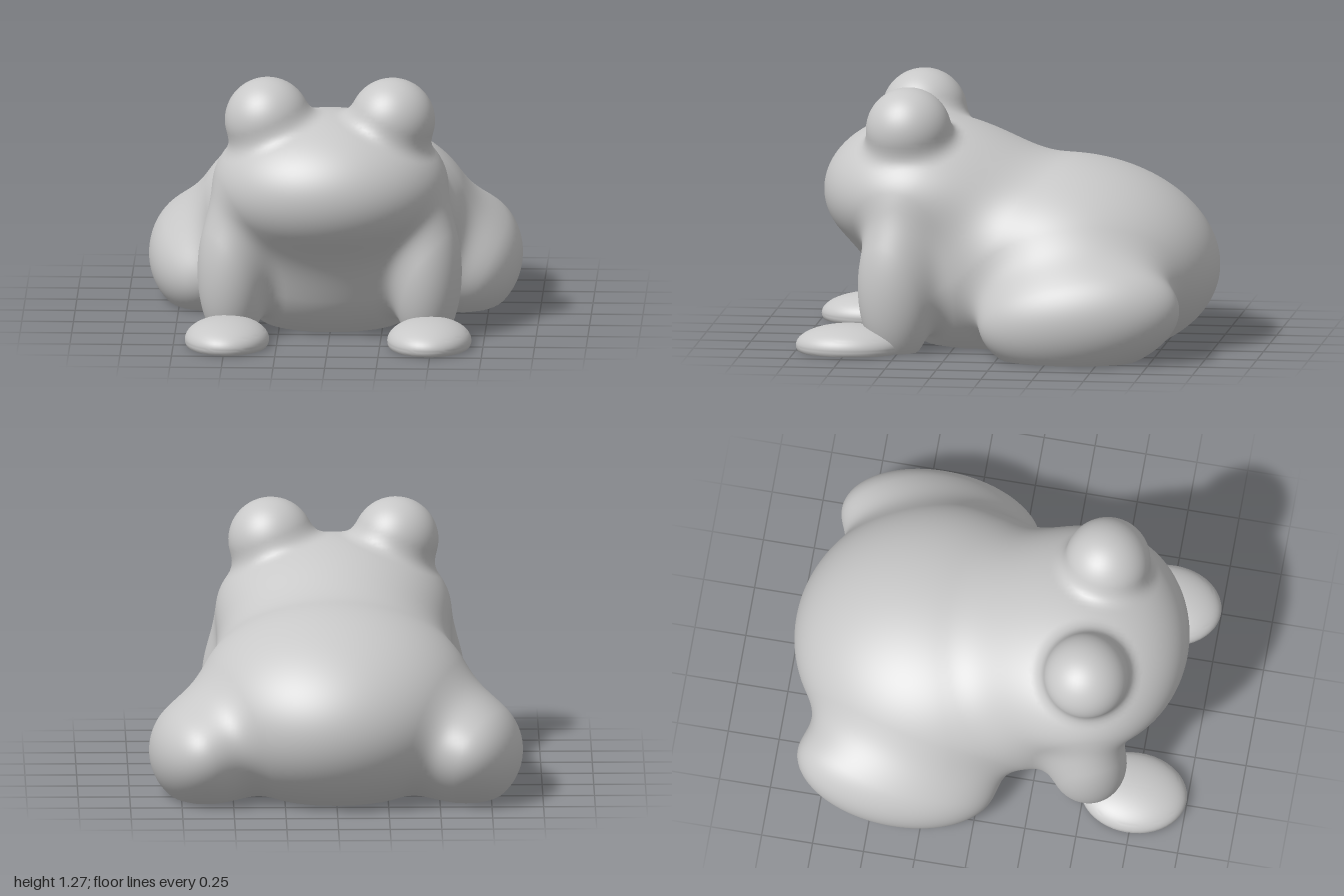
import * as THREE from 'three';
import { toCreasedNormals } from 'three/addons/utils/BufferGeometryUtils.js';

// Soft masses of the frog: centre, radii, pitch about x, blend width.
// Paired masses are described on the +x side and mirrored.
const MASSES = [
  { name: 'torso', c: [0, 0.42, -0.3], r: [0.68, 0.485, 0.705], pitch: 0.13, k: 0 },
  { name: 'chest', c: [0, 0.4, 0.13], r: [0.57, 0.5, 0.53], pitch: 0, k: 0.15 },
  { name: 'head', c: [0, 0.73, 0.42], r: [0.57, 0.365, 0.5], pitch: 0, k: 0.2 },
  { name: 'Thigh', pair: true, c: [0.63, 0.21, -0.4], r: [0.275, 0.28, 0.49], pitch: -0.13, k: 0.15 },
  { name: 'FrontLeg', pair: true, c: [0.47, 0.32, 0.51], r: [0.17, 0.38, 0.19], pitch: 0, k: 0.1 },
  { name: 'Eye', pair: true, c: [0.302, 1.06, 0.475], r: [0.207, 0.207, 0.207], pitch: 0, k: 0.075 },
];
for (const m of MASSES) { m.cos = Math.cos(m.pitch); m.sin = Math.sin(m.pitch); }

// Approximate distance to one tilted ellipsoid
function massDistance(m, x, y, z) {
  const dx = Math.abs(x) - (m.pair ? m.c[0] : 0), dy = y - m.c[1], dz = z - m.c[2];
  const px = dx / m.r[0];
  const py = (dy * m.cos - dz * m.sin) / m.r[1];
  const pz = (dz * m.cos + dy * m.sin) / m.r[2];
  const k0 = Math.hypot(px, py, pz);
  const k1 = Math.hypot(px / m.r[0], py / m.r[1], pz / m.r[2]);
  return k1 < 1e-6 ? -Math.min(...m.r) : k0 * (k0 - 1) / k1;
}

// All masses melted together
function skin(x, y, z) {
  let d = Infinity;
  for (const m of MASSES) {
    const e = massDistance(m, x, y, z);
    const h = m.k ? Math.max(m.k - Math.abs(d - e), 0) : 0;
    d = Math.min(d, e) - (h ? h * h / (4 * m.k) : 0);
  }
  return d;
}

function gradient([x, y, z], e = 0.002) {
  return [
    (skin(x + e, y, z) - skin(x - e, y, z)) / (2 * e),
    (skin(x, y + e, z) - skin(x, y - e, z)) / (2 * e),
    (skin(x, y, z + e) - skin(x, y, z - e)) / (2 * e),
  ];
}

// Name of the mass that owns a point of the skin
function ownerOf(p) {
  let best = null, least = Infinity;
  for (const m of MASSES) {
    const d = massDistance(m, ...p);
    if (d < least) { least = d; best = m; }
  }
  return best.pair ? (p[0] > 0 ? 'left' : 'right') + best.name : best.name;
}

// Wrap the skin in a quad net and sort the quads into named parts
function buildSkin() {
  const step = 0.022, low = [-1.012, -0.22, -1.1];
  const size = [93, 70, 98];
  const stride = [1, size[0], size[0] * size[1]];
  const at = (i, a) => low[a] + i * step;
  const field = new Float32Array(size[0] * size[1] * size[2]);
  const each = (visit) => {
    for (let k = 1; k < size[2] - 1; k++)
      for (let j = 1; j < size[1] - 1; j++)
        for (let i = 1; i < size[0] - 1; i++)
          visit([i, j, k], i + j * stride[1] + k * stride[2]);
  };
  field.fill(1);
  each(([i, j, k], n) => { field[n] = skin(at(i, 0), at(j, 1), at(k, 2)); });

  // Each grid edge crossing the skin gives one quad and pulls its four cells
  const cells = new Map(), quads = [];
  each((g, n) => {
    for (let a = 0; a < 3; a++) {
      const d0 = field[n], d1 = field[n + stride[a]];
      if ((d0 < 0) === (d1 < 0)) continue;
      const p = g.map(at);
      p[a] += step * d0 / (d0 - d1);
      const b = stride[(a + 1) % 3], c = stride[(a + 2) % 3];
      const quad = [n, n - b, n - b - c, n - c].map((id) => {
        if (!cells.has(id)) cells.set(id, { sum: [0, 0, 0], count: 0 });
        const cell = cells.get(id);
        p.forEach((v, q) => { cell.sum[q] += v; });
        cell.count++;
        return cell;
      });
      quads.push(d0 < 0 ? quad : quad.reverse());
    }
  });

  // Settle the corners on the skin, then flatten everything below the ground
  for (const cell of cells.values()) {
    cell.p = cell.sum.map((v) => v / cell.count);
    for (let s = 0; s < 3; s++) {
      const g = gradient(cell.p), d = skin(...cell.p);
      const l2 = g[0] ** 2 + g[1] ** 2 + g[2] ** 2 || 1;
      cell.p = cell.p.map((v, q) => v - d * g[q] / l2);
    }
    const g = gradient(cell.p), l = Math.hypot(...g) || 1;
    cell.n = g.map((v) => v / l);
    cell.under = cell.p[1] <= 0;
    cell.p[1] = Math.max(cell.p[1], 0);
  }

  const parts = {};
  for (const quad of quads) {
    const under = quad.every((c) => c.under);
    const mid = [0, 1, 2].map((q) => quad.reduce((s, c) => s + c.p[q] / 4, 0));
    const name = under ? 'underside' : ownerOf(mid);
    const part = parts[name] ??= { position: [], normal: [], index: [], seen: new Map() };
    const [a, b, c, d] = quad.map((cell) => {
      if (!part.seen.has(cell)) {
        part.seen.set(cell, part.seen.size);
        part.position.push(...cell.p);
        part.normal.push(...(under ? [0, -1, 0] : cell.n));
      }
      return part.seen.get(cell);
    });
    part.index.push(a, b, c, a, c, d);
  }
  return parts;
}

// Flat-bottomed oval foot
function footGeometry() {
  const geo = new THREE.SphereGeometry(1, 48, 40);
  geo.scale(0.204, 0.105, 0.26).translate(0, 0.03, 0);
  const pos = geo.attributes.position;
  for (let i = 0; i < pos.count; i++) pos.setY(i, Math.max(pos.getY(i), 0));
  return toCreasedNormals(geo, 0.6);
}

export function createModel() {
  const group = new THREE.Group();
  group.name = 'frog';
  const grey = new THREE.MeshStandardMaterial({ color: 0xc8c8c8 });
  grey.name = 'plain grey';

  const add = (name, geo, x = 0, z = 0) => {
    const mesh = new THREE.Mesh(geo, grey);
    mesh.name = name;
    mesh.position.set(x, 0, z);
    group.add(mesh);
  };

  // Blended body parts
  for (const [name, part] of Object.entries(buildSkin())) {
    const geo = new THREE.BufferGeometry();
    geo.setAttribute('position', new THREE.Float32BufferAttribute(part.position, 3));
    geo.setAttribute('normal', new THREE.Float32BufferAttribute(part.normal, 3));
    geo.setIndex(part.index);
    add(name, geo);
  }

  // Front feet
  const foot = footGeometry();
  add('leftFoot', foot, 0.49, 0.74);
  add('rightFoot', foot, -0.49, 0.74);
  return group;
}
